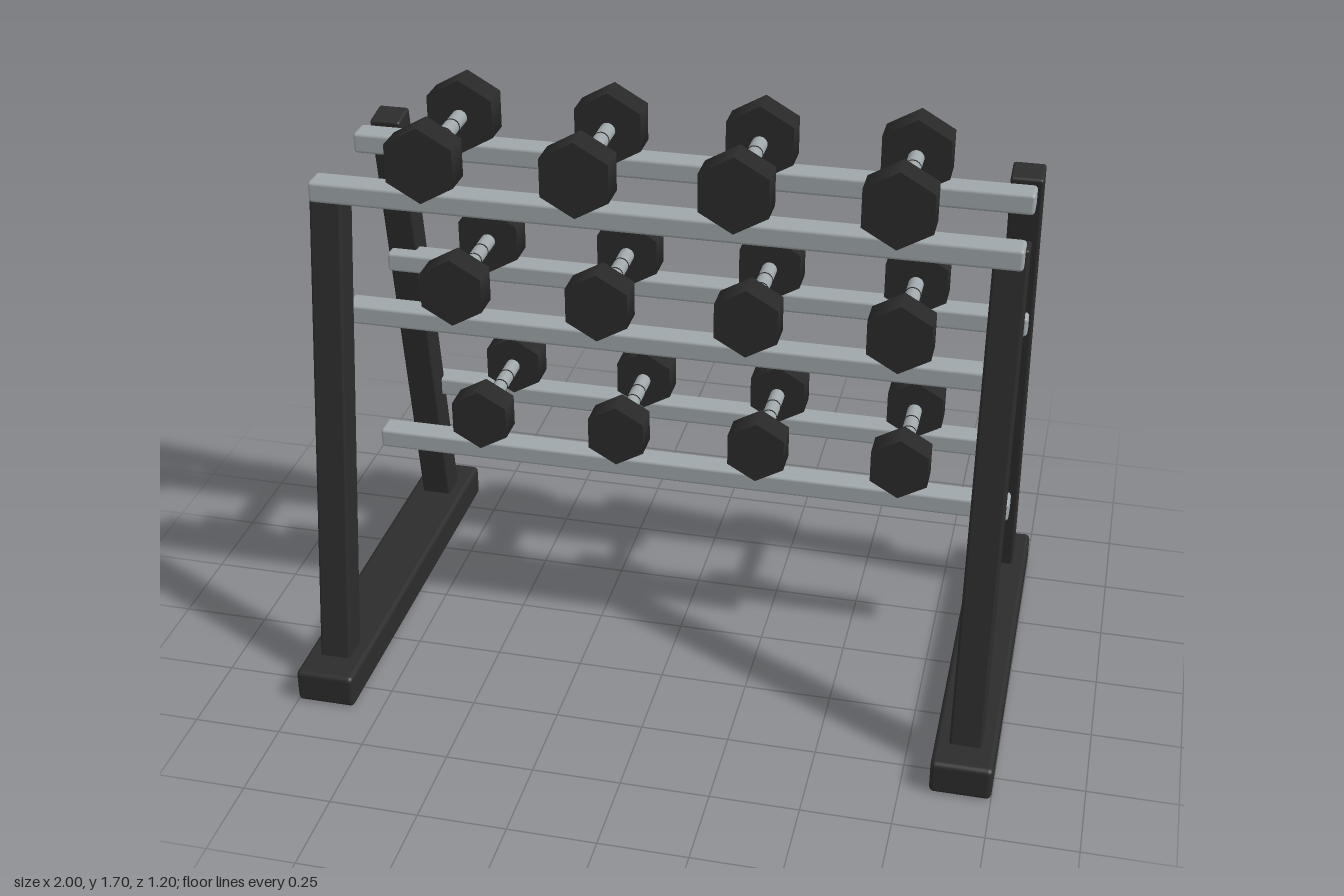
import * as THREE from 'three';
import { RoundedBoxGeometry } from 'three/addons/geometries/RoundedBoxGeometry.js';

export function createModel() {
  const model = new THREE.Group();
  model.name = 'dumbbellRack';

  const material = (name, color) => {
    const m = new THREE.MeshStandardMaterial({ color });
    m.name = name;
    return m;
  };
  const frameBlack = material('frameBlack', 0x2c2c2c);
  const headBlack = material('headBlack', 0x2a2a2a);
  const steel = material('steel', 0x9fa7aa);

  const add = (parent, name, geometry, mat, x, y, z) => {
    const mesh = new THREE.Mesh(geometry, mat);
    mesh.name = name;
    mesh.position.set(x, y, z);
    parent.add(mesh);
    return mesh;
  };

  // Side frames: a long foot with two posts leaning towards each other
  const footGeo = new RoundedBoxGeometry(0.17, 0.1, 1.2, 2, 0.014);
  const bottom = { y: 0.05, z: 0.467 }, top = { y: 1.497, z: 0.235 };
  const rise = top.y - bottom.y, run = bottom.z - top.z;
  const postGeo = new RoundedBoxGeometry(0.09, Math.hypot(rise, run), 0.09, 2, 0.008);
  for (const side of [-1, 1]) {
    const frame = new THREE.Group();
    frame.name = side > 0 ? 'leftFrame' : 'rightFrame';
    add(frame, 'foot', footGeo, frameBlack, side * 0.915, 0.05, 0);
    for (const end of [-1, 1]) {
      const post = add(frame, end > 0 ? 'frontPost' : 'backPost', postGeo, frameBlack,
        side * 0.915, (bottom.y + top.y) / 2, end * (bottom.z + top.z) / 2);
      post.rotation.x = -end * Math.atan2(run, rise);
    }
    model.add(frame);
  }

  // Dumbbell lying along z: two hexagonal heads, a handle and thin grip rings
  const alongZ = (r, length, sides) =>
    new THREE.CylinderGeometry(r, r, length, sides).rotateX(Math.PI / 2);
  const handleGeo = alongZ(0.022, 0.27, 16);
  const ringGeo = alongZ(0.0228, 0.005, 16);
  const makeDumbbell = (headGeo, halfGap) => {
    const dumbbell = new THREE.Group();
    dumbbell.name = 'dumbbell';
    add(dumbbell, 'handle', handleGeo, steel, 0, 0, 0);
    for (const end of [-1, 1]) add(dumbbell, 'head', headGeo, headBlack, 0, 0, end * halfGap);
    for (const i of [-1, 0, 1]) add(dumbbell, 'gripRing', ringGeo, headBlack, 0, 0, i * 0.063);
    return dumbbell;
  };

  // Three tiers, each with two rails and four dumbbells
  const railGeo = new RoundedBoxGeometry(1.9, 0.06, 0.075, 2, 0.01);
  const halfGap = 0.174;
  const tiers = [
    { name: 'lowerTier', railY: 0.505, y: 0.613, z: -0.271, radius: 0.096 },
    { name: 'middleTier', railY: 1.024, y: 1.13, z: -0.086, radius: 0.102 },
    { name: 'upperTier', railY: 1.486, y: 1.595, z: 0.105, radius: 0.107 },
  ];
  for (const t of tiers) {
    const tier = new THREE.Group();
    tier.name = t.name;
    for (const end of [-1, 1]) {
      add(tier, end > 0 ? 'frontRail' : 'backRail', railGeo, steel, 0, t.railY, t.z + end * 0.172);
    }
    const headGeo = alongZ(t.radius, 0.086, 6);
    for (let i = 0; i < 4; i++) {
      const dumbbell = makeDumbbell(headGeo, halfGap);
      dumbbell.position.set((i - 1.5) * 0.42, t.y, t.z);
      tier.add(dumbbell);
    }
    model.add(tier);
  }
  return model;
}
